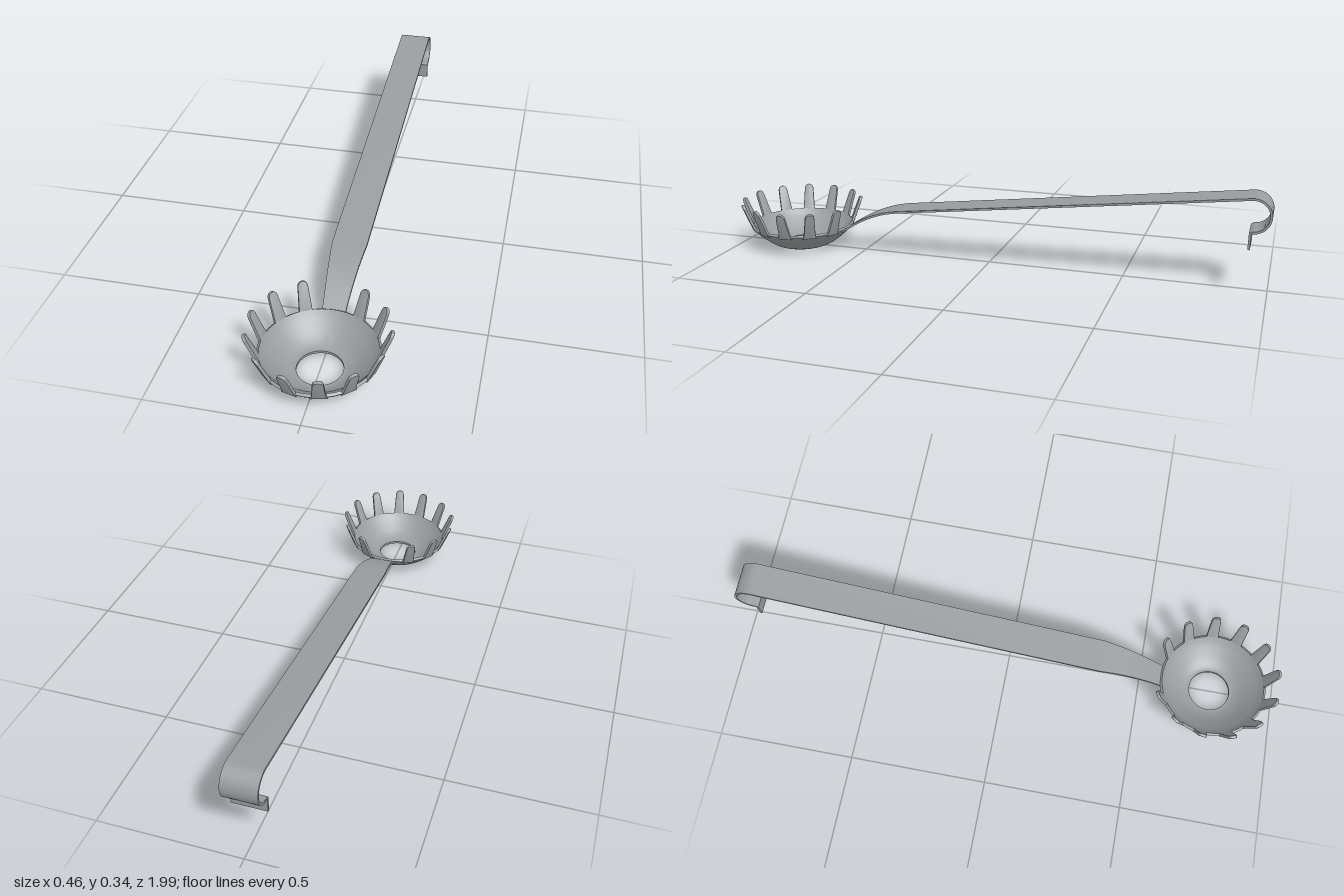
import * as THREE from 'three';
import { toCreasedNormals } from 'three/addons/utils/BufferGeometryUtils.js';

const BOWL_Z = 0.766;
const SLOTS = 13; // twelve tines plus the slot taken by the handle

const steel = new THREE.MeshStandardMaterial({ color: 0x9a9da0 });
steel.name = 'brushed steel';

function part(name, geometry, crease = 0.6) {
  const mesh = new THREE.Mesh(toCreasedNormals(geometry, crease), steel);
  mesh.name = name;
  return mesh;
}

// Shallow dish with a round drain hole in its base
function bowlGeometry() {
  const outer = new THREE.SplineCurve([
    [0.075, 0], [0.092, 0.002], [0.12, 0.014], [0.15, 0.036], [0.177, 0.06], [0.196, 0.082],
  ].map(([r, y]) => new THREE.Vector2(r, y))).getPoints(18);
  const inner = new THREE.SplineCurve([
    [0.188, 0.088], [0.17, 0.067], [0.145, 0.045], [0.117, 0.024], [0.09, 0.011], [0.075, 0.009],
  ].map(([r, y]) => new THREE.Vector2(r, y))).getPoints(18);
  return new THREE.LatheGeometry([...outer, ...inner, outer[0].clone()], 78);
}

// Tapered finger with a flared root and rounded tip
function tineGeometry() {
  const s = new THREE.Shape();
  s.moveTo(-0.027, 0);
  s.lineTo(0.027, 0);
  s.quadraticCurveTo(0.022, 0.008, 0.0215, 0.02);
  s.lineTo(0.017, 0.094);
  s.quadraticCurveTo(0.015, 0.111, 0, 0.112);
  s.quadraticCurveTo(-0.015, 0.111, -0.017, 0.094);
  s.lineTo(-0.0215, 0.02);
  s.quadraticCurveTo(-0.022, 0.008, -0.027, 0);
  const g = new THREE.ExtrudeGeometry(s, {
    depth: 0.007, curveSegments: 8, bevelEnabled: true,
    bevelThickness: 0.002, bevelSize: 0.002, bevelOffset: -0.002, bevelSegments: 2,
  });
  g.translate(0, 0, -0.0035);
  return g;
}

// Bent strip: neck curve, straight shaft, half-round hook and end flap
function handleGeometry() {
  const T = 0.004; // half thickness
  const path = [];
  const neck = new THREE.CubicBezierCurve(
    new THREE.Vector2(-0.582, 0.072), new THREE.Vector2(-0.51, 0.125),
    new THREE.Vector2(-0.43, 0.166), new THREE.Vector2(-0.34, 0.178));
  path.push(...neck.getPoints(16));
  const cx = 0.938, cy = 0.278, r = 0.058;
  for (let i = 0; i <= 20; i++) {
    const a = THREE.MathUtils.lerp(1.69, -Math.PI / 2, i / 20);
    path.push(new THREE.Vector2(cx + r * Math.cos(a), cy + r * Math.sin(a)));
  }
  path.push(new THREE.Vector2(0.931, 0.217), new THREE.Vector2(0.93, 0.16));

  // Offset the path to both sides
  const left = [], right = [];
  path.forEach((p, i) => {
    const a = path[Math.max(i - 1, 0)], b = path[Math.min(i + 1, path.length - 1)];
    const d = b.clone().sub(a).normalize();
    left.push(new THREE.Vector2(p.x - d.y * T, p.y + d.x * T));
    right.push(new THREE.Vector2(p.x + d.y * T, p.y - d.x * T));
  });
  const g = new THREE.ExtrudeGeometry(new THREE.Shape([...right, ...left.reverse()]),
    { depth: 0.12, bevelEnabled: false });
  g.translate(0, 0, -0.06);
  g.rotateY(Math.PI / 2);

  // Narrow the strip toward the bowl
  const pos = g.attributes.position;
  for (let i = 0; i < pos.count; i++) {
    const t = THREE.MathUtils.clamp((pos.getZ(i) - 0.34) / 0.22, 0, 1);
    pos.setX(i, pos.getX(i) * (1 - 0.34 * t));
  }
  return g;
}

export function createModel() {
  const model = new THREE.Group();
  model.name = 'pasta server';

  const head = new THREE.Group();
  head.name = 'head';
  head.position.z = BOWL_Z;
  head.add(part('bowl', bowlGeometry()));

  const tine = tineGeometry();
  for (let i = 0; i < SLOTS - 1; i++) {
    const pivot = new THREE.Group();
    pivot.name = 'tine';
    pivot.rotation.y = Math.PI + (i + 1) * Math.PI * 2 / SLOTS;
    const finger = part('tineFinger', tine);
    finger.position.set(0, 0.075, 0.188);
    finger.rotation.x = 0.375;
    pivot.add(finger);
    head.add(pivot);
  }
  model.add(head, part('handle', handleGeometry()));
  return model;
}
